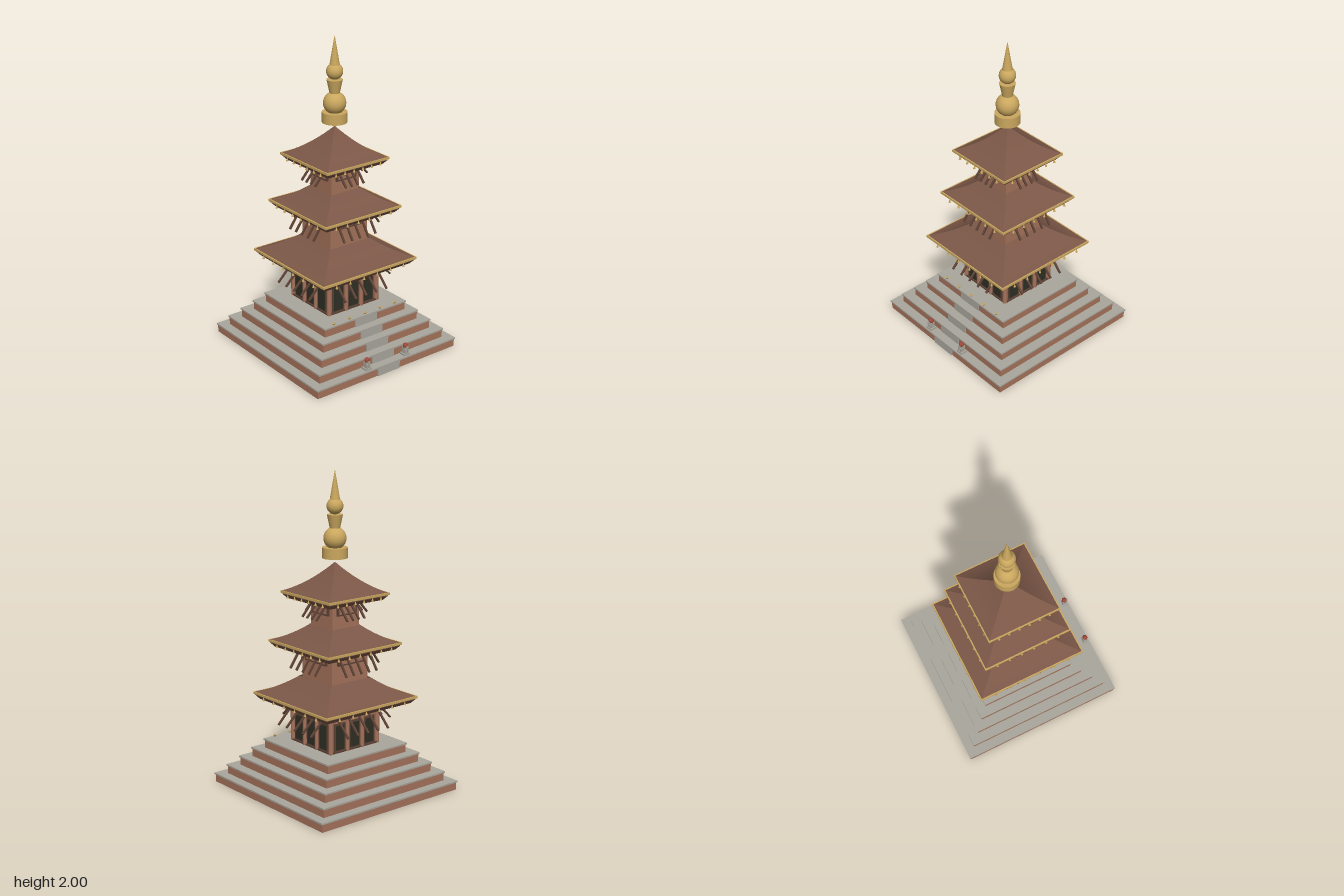
import * as THREE from 'three';
import { toCreasedNormals } from 'three/addons/utils/BufferGeometryUtils.js';

const mat = (name, color, side = THREE.FrontSide) => {
  const m = new THREE.MeshStandardMaterial({ color, side });
  m.name = name;
  return m;
};

export function createModel() {
  const brick = mat('brick', 0xa6735b);
  const roofTile = mat('roof tile', 0x7b5747, THREE.DoubleSide);
  const timber = mat('dark timber', 0x5e4235);
  const stone = mat('stone', 0xaaa79d);
  const gold = mat('gold', 0xcaa75e);
  const dark = mat('dark opening', 0x2e2f24);
  const red = mat('red paint', 0xa0483a);

  const root = new THREE.Group();
  root.name = 'pagoda';
  const add = (parent, name, geo, material, x = 0, y = 0, z = 0) => {
    const m = new THREE.Mesh(geo, material);
    m.name = name;
    m.position.set(x, y, z);
    parent.add(m);
    return m;
  };
  const box = (parent, name, material, w, h, d, x, y, z) =>
    add(parent, name, new THREE.BoxGeometry(w, h, d), material, x, y, z);
  const group = (parent, name) => {
    const g = new THREE.Group();
    g.name = name;
    parent.add(g);
    return g;
  };
  // Runs a builder once for each of the four sides, with +z as outward
  const fourSides = (parent, name, build) => {
    for (let i = 0; i < 4; i++) {
      const g = group(parent, name);
      g.rotation.y = i * Math.PI / 2;
      build(g);
    }
  };
  // Four-sided solid from [half width, height] pairs
  const squareLathe = (pts) => {
    const g = new THREE.LatheGeometry(
      pts.map(([h, y]) => new THREE.Vector2(h * Math.SQRT2, y)), 4);
    g.rotateY(Math.PI / 4);
    return toCreasedNormals(g, 0.4);
  };

  // Stepped plinth with stone copings and a stone stair strip
  const plinth = group(root, 'plinth');
  [0.545, 0.49, 0.432, 0.376, 0.32].forEach((h, i) => {
    const y = i * 0.06, b = h - 0.006, y0 = i ? y : 0.001;
    box(plinth, 'brickTier', brick, b * 2, y + 0.05 - y0, b * 2, 0, (y + 0.05 + y0) / 2, 0);
    box(plinth, 'coping', stone, h * 2, 0.01, h * 2, 0, y + 0.055, 0);
    box(plinth, 'stairFace', stone, 0.17, 0.05, 0.006, 0, y + 0.025, h - 0.003);
  });
  box(plinth, 'stairFooting', stone, 0.17, 0.004, 0.22, 0, 0.002, 0.39);

  // Small lamps along the front edge of the terrace
  for (let i = -2; i <= 2; i++) {
    const lamp = group(root, 'lamp');
    lamp.position.set(i * 0.12, 0.3, 0.305);
    add(lamp, 'lampBowl', new THREE.CylinderGeometry(0.01, 0.006, 0.01, 10), gold, 0, 0.005, 0);
    add(lamp, 'lampFlame', new THREE.ConeGeometry(0.005, 0.012, 8), gold, 0, 0.016, 0);
  }

  // Guardian statues either side of the stair
  for (const s of [-1, 1]) {
    const guard = group(root, 'guardian');
    guard.position.set(s * 0.152, 0.06, 0.515);
    box(guard, 'pedestal', stone, 0.044, 0.012, 0.044, 0, 0.006, 0);
    box(guard, 'body', stone, 0.028, 0.04, 0.026, 0, 0.032, 0);
    add(guard, 'head', new THREE.SphereGeometry(0.017, 12, 8), red, 0, 0.062, 0.003);
    box(guard, 'muzzle', stone, 0.014, 0.012, 0.012, 0, 0.055, 0.018);
    for (const e of [-1, 1]) {
      box(guard, 'foreleg', stone, 0.008, 0.028, 0.01, e * 0.009, 0.026, 0.015);
    }
  }

  // Ground storey with doors, pillars and lintels
  const ground = group(root, 'groundStorey');
  box(ground, 'wall', brick, 0.37, 0.28, 0.37, 0, 0.44, 0);
  fourSides(ground, 'facade', (g) => {
    for (const x of [-0.118, 0, 0.118]) {
      box(g, 'doorFrame', timber, 0.086, 0.18, 0.008, x, 0.396, 0.187);
      box(g, 'door', dark, 0.066, 0.155, 0.006, x, 0.395, 0.191);
      box(g, 'lintel', red, 0.1, 0.026, 0.02, x, 0.518, 0.193);
    }
    for (const x of [-0.059, 0.059]) {
      add(g, 'pillar', new THREE.CylinderGeometry(0.013, 0.013, 0.24, 12), brick, x, 0.42, 0.192);
    }
    add(g, 'cornerPillar', new THREE.CylinderGeometry(0.015, 0.015, 0.25, 12), brick, 0.186, 0.425, 0.186);
    box(g, 'sill', timber, 0.39, 0.01, 0.016, 0, 0.305, 0.19);
  });

  // Upper storeys with projecting window panels
  for (const [half, y0, y1, panelHalf, panelY0, panelY1] of [
    [0.142, 0.70, 0.91, 0.1, 0.83, 0.9],
    [0.105, 1.03, 1.22, 0.075, 1.13, 1.205],
  ]) {
    const storey = group(root, 'upperStorey');
    box(storey, 'wall', brick, half * 2, y1 - y0, half * 2, 0, (y0 + y1) / 2, 0);
    const ph = panelY1 - panelY0, py = (panelY0 + panelY1) / 2;
    fourSides(storey, 'windowBay', (g) => {
      box(g, 'windowFrame', timber, panelHalf * 2, ph, 0.014, 0, py, half + 0.006);
      box(g, 'windowPanel', brick, panelHalf * 2 - 0.024, ph - 0.02, 0.004, 0, py, half + 0.013);
    });
  }

  // Curved roofs, eave trim, bells and struts
  // [eave half, eave y, top half, top y, strut inner z, y, outer z, y, strut spacing, count]
  for (const [eh, ey, th, ty, iz, iy, oz, oy, gap, count] of [
    [0.358, 0.605, 0.155, 0.72, 0.2, 0.55, 0.32, 0.43, 0.08, 5],
    [0.288, 0.945, 0.11, 1.05, 0.175, 0.905, 0.255, 0.79, 0.06, 5],
    [0.232, 1.255, 0, 1.44, 0.125, 1.2, 0.2, 1.115, 0.045, 4],
  ]) {
    const roof = group(root, 'roof');
    const profile = [];
    for (let i = 0; i <= 10; i++) {
      const t = i / 10;
      profile.push([eh + (th - eh) * t, ey + (ty - ey) * (0.5 * t + 0.5 * t * t)]);
    }
    add(roof, 'roofSlope', squareLathe(profile), roofTile);
    add(roof, 'eaveSoffit', squareLathe([[0, ey - 0.045], [eh - 0.025, ey - 0.045],
      [eh - 0.004, ey - 0.02], [eh - 0.004, ey]]), roofTile);
    fourSides(roof, 'eave', (g) => {
      box(g, 'goldTrim', gold, eh * 2 + 0.008, 0.014, 0.01, 0, ey - 0.006, eh);
      for (let i = 0; i < 6; i++) {
        add(g, 'bell', new THREE.ConeGeometry(0.008, 0.024, 8), gold,
          (i - 2.5) * eh * 0.29, ey - 0.025, eh + 0.001);
      }
      for (let i = 0; i < count; i++) {
        const strut = box(g, 'strut', timber, 0.012, Math.hypot(oz - iz, oy - iy), 0.01,
          (i - (count - 1) / 2) * gap, (iy + oy) / 2, (iz + oz) / 2);
        strut.rotation.x = Math.atan2(oz - iz, oy - iy);
      }
    });
  }

  // Gilded finial
  const finial = group(root, 'finial');
  add(finial, 'drum', new THREE.CylinderGeometry(0.078, 0.078, 0.065, 32), gold, 0, 1.4975, 0);
  add(finial, 'lowerGlobe', new THREE.SphereGeometry(0.07, 32, 20), gold, 0, 1.585, 0);
  add(finial, 'flaredNeck', new THREE.CylinderGeometry(0.049, 0.03, 0.09, 28), gold, 0, 1.685, 0);
  add(finial, 'upperGlobe', new THREE.SphereGeometry(0.051, 28, 18), gold, 0, 1.78, 0);
  add(finial, 'spire', new THREE.ConeGeometry(0.032, 0.185, 24), gold, 0, 1.9075, 0);

  return root;
}
